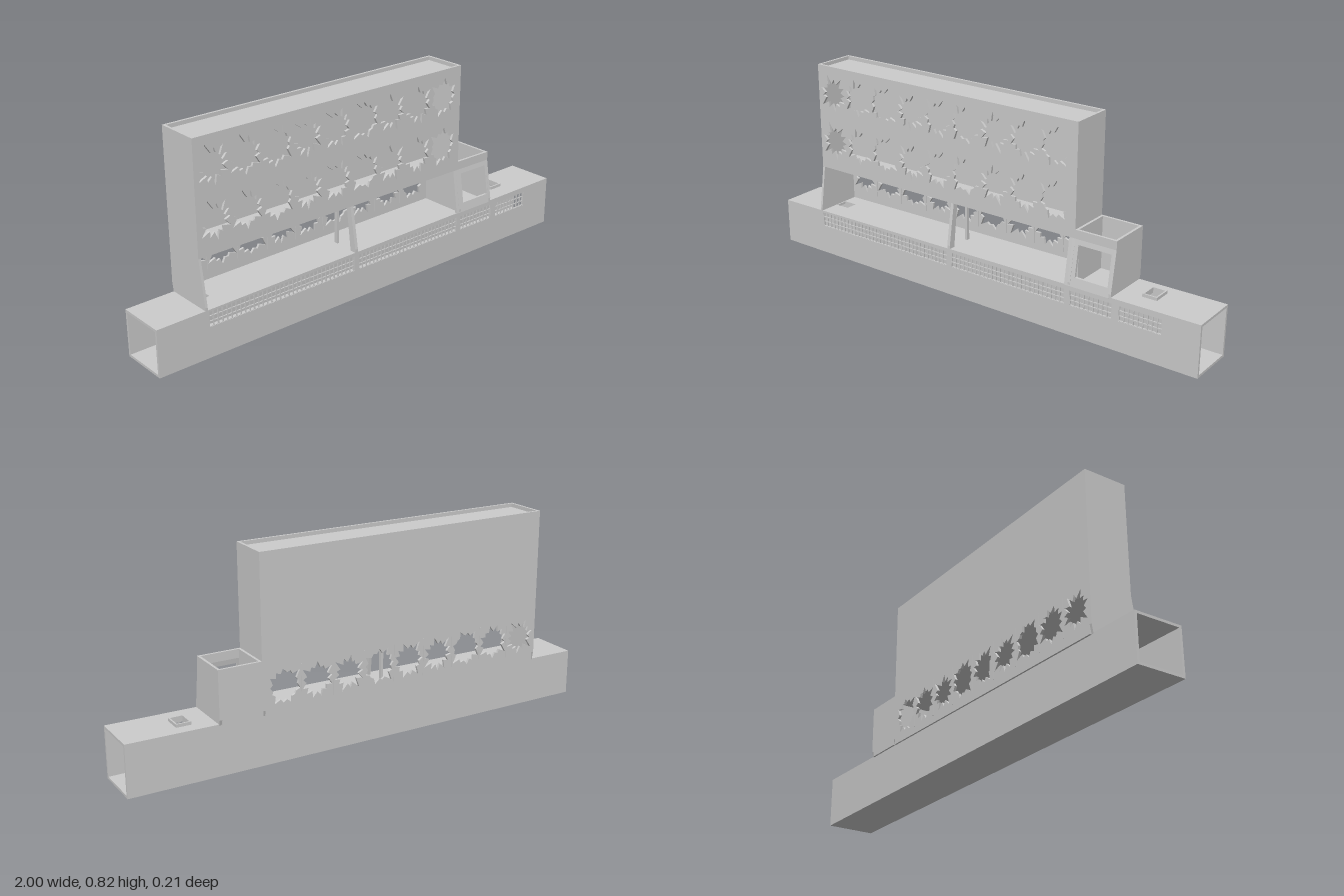
import * as THREE from 'three';
import { mergeGeometries } from 'three/addons/utils/BufferGeometryUtils.js';

const mat = new THREE.MeshStandardMaterial({ color: 0xcccccc, flatShading: true, side: THREE.DoubleSide });
const T = 0.01; // wall thickness
const baseTop = x => 0.198 + 0.01 * x; // gently rising roof of the long base

const poly = pts => new THREE.Shape(pts.map(p => new THREE.Vector2(p[0], p[1])));
const rect = (x0, x1, y0, y1) => poly([[x0, y0], [x1, y0], [x1, y1], [x0, y1]]);

export function createModel() {
  const model = new THREE.Group();
  const add = (name, geo) => {
    const mesh = new THREE.Mesh(geo, mat);
    mesh.name = name;
    model.add(mesh);
    return mesh;
  };
  const boxGeo = (x0, x1, y0, y1, z0, z1) =>
    new THREE.BoxGeometry(x1 - x0, y1 - y0, z1 - z0)
      .translate((x0 + x1) / 2, (y0 + y1) / 2, (z0 + z1) / 2);
  const box = (name, ...b) => add(name, boxGeo(...b));

  // Upright wall facing z, with holes
  const wallGeo = (shape, holes, z0, depth = T) => {
    shape.holes.push(...holes);
    return new THREE.ExtrudeGeometry(shape, { depth, bevelEnabled: false }).translate(0, 0, z0);
  };
  // Wall facing x, from a [z, y] outline
  const sideGeo = (pts, x0, x1) =>
    new THREE.ExtrudeGeometry(poly(pts), { depth: x1 - x0, bevelEnabled: false })
      .rotateY(-Math.PI / 2).translate(x1, 0, 0);
  // Move vertices by a rule
  const bend = (geo, rule) => {
    const p = geo.attributes.position, v = new THREE.Vector3();
    for (let i = 0; i < p.count; i++) {
      rule(v.fromBufferAttribute(p, i));
      p.setXYZ(i, v.x, v.y, v.z);
    }
    geo.computeVertexNormals();
    return geo;
  };

  // Jagged leaf cut-outs, turned differently in each panel
  const tips = [0.084, 0.068, 0.08, 0.062, 0.086, 0.058, 0.074, 0.056, 0.08, 0.064, 0.078, 0.06, 0.072];
  const leaf = (cx, cy, k, hy) => {
    const pts = [], n = tips.length * 2;
    const turn = k * Math.PI / 2 + 0.25 * (k % 3);
    for (let i = 0; i < n; i++) {
      const r = i % 2 ? 0.043 + 0.005 * ((i * 3 + k) % 3) : tips[i / 2];
      const a = turn + (i / n) * Math.PI * 2;
      pts.push([
        cx + THREE.MathUtils.clamp(r * Math.cos(a), -0.063, 0.063),
        cy + THREE.MathUtils.clamp(r * Math.sin(a), -hy, hy),
      ]);
    }
    return poly(pts);
  };
  const pitch = 0.1367;
  const leafRow = (cy, hy) =>
    Array.from({ length: 9 }, (_, k) => leaf(-0.722 + k * pitch, cy, k, hy));

  // ---- Long tubular base, open at both ends ----
  const baseOutline = () => poly([[-1, 0], [1, 0], [1, baseTop(1)], [-1, baseTop(-1)]]);
  const strips = [[-0.785, -0.115], [-0.09, 0.44], [0.465, 0.645], [0.675, 0.85]];
  const winY0 = 0.122, winY1 = 0.183;
  add('baseFrontWall', wallGeo(baseOutline(),
    strips.map(([a, b]) => rect(a, b, winY0, winY1)), 0.095));
  add('baseBackWall', wallGeo(baseOutline(), [], -0.095));
  box('baseFloor', -1, 1, 0, T, -0.085, 0.095);

  const roof = rect(-1, 1, -0.095, 0.085); // drawn in x and -z
  roof.holes.push(rect(0.73, 0.78, -0.025, 0.04), rect(-0.785, -0.725, -0.02, 0.03));
  add('baseRoof', bend(
    new THREE.ExtrudeGeometry(roof, { depth: T, bevelEnabled: false }).rotateX(-Math.PI / 2),
    v => { v.y += baseTop(v.x) - T; }));
  add('innerLedge', sideGeo([[-0.085, 0.01], [-0.079, 0.115], [-0.063, 0.118], [-0.063, 0.124], [-0.085, 0.124]], -0.78, 0.85));

  // Window lattices
  const bars = [];
  for (const [a, b] of strips) {
    const n = Math.round((b - a) / 0.02);
    for (let i = 0; i <= n; i++) {
      const x = a + (b - a) * i / n;
      bars.push(boxGeo(x - 0.0018, x + 0.0018, winY0, winY1, 0.098, 0.103));
    }
    for (let j = 0; j <= 3; j++) {
      const y = winY0 + (winY1 - winY0) * j / 3;
      bars.push(boxGeo(a, b, y - 0.0015, y + 0.0015, 0.0985, 0.1035));
    }
  }
  add('windowLattice', mergeGeometries(bars));

  // Roof hatch curb
  const hatch = rect(0.725, 0.785, -0.03, 0.045);
  hatch.holes.push(rect(0.731, 0.779, -0.024, 0.039));
  add('roofHatch', new THREE.ExtrudeGeometry(hatch, { depth: 0.018, bevelEnabled: false })
    .rotateX(-Math.PI / 2).translate(0, 0.2, 0));

  // ---- Tower ----
  const L = -0.8, R = 0.465, top = 0.823, stepTop = 0.415, F = 0.078, B = -0.102;
  const profile = (x, h) => [
    [-0.095, baseTop(x) - 0.004], [0.105, baseTop(x) - 0.004], [0.105, baseTop(x) + 0.012],
    [F, 0.38], [F, h], [B, h], [B, 0.222],
  ];
  add('towerRightWall', sideGeo(profile(L, top), L, L + T));
  add('towerLeftWall', sideGeo(profile(R, top), R - T, R));
  add('towerFrontWall', wallGeo(rect(L + T, R - T, 0.38, top),
    [...leafRow(0.71, 0.08), ...leafRow(0.505, 0.08)], F - T));
  add('towerBackWall', wallGeo(
    poly([[L + T, baseTop(L) - 0.004], [R - T, baseTop(R) - 0.004], [R - T, top], [L + T, top]]),
    leafRow(0.302, 0.07), B));
  box('towerFloor', L + T, R - T, 0.38, 0.39, B + T, F - T);
  box('towerRoof', L + T, R - T, 0.798, 0.808, B + T, F - T);

  // Thin ribs between the leaf panels
  const ribs = [];
  for (let k = 1; k < 9; k++) {
    const x = -0.79 + k * pitch;
    ribs.push(boxGeo(x - 0.002, x + 0.002, 0.225, 0.378, B - 0.002, B + T + 0.003));
  }
  add('panelRibs', mergeGeometries(ribs));

  // Arcade supports
  add('arcadeFin', sideGeo([[0.078, 0.19], [0.105, 0.19], [0.105, 0.21], [F, 0.38], [0.055, 0.38]], -0.11, -0.097));
  box('arcadeColumn', -0.108, -0.098, 0.19, 0.38, -0.02, -0.005);

  // ---- Open-topped annex beside the tower ----
  const A = 0.64;
  add('annexSideWall', sideGeo(profile(A, stepTop), A - T, A));
  add('annexFrontFrame', bend(
    wallGeo(rect(0.44, A - T, 0.2, 0.38), [rect(0.482, 0.622, 0.237, 0.36)], F - T),
    v => { v.z += (0.38 - v.y) * 0.154; }));
  box('annexFrontRim', R, A - T, 0.38, stepTop, F - T, F);
  box('annexBackWall', R, A - T, 0.2, stepTop, B, B + T);
  box('annexInnerWall', R, R + T, 0.2, stepTop, B + T, F - T);

  return model;
}
